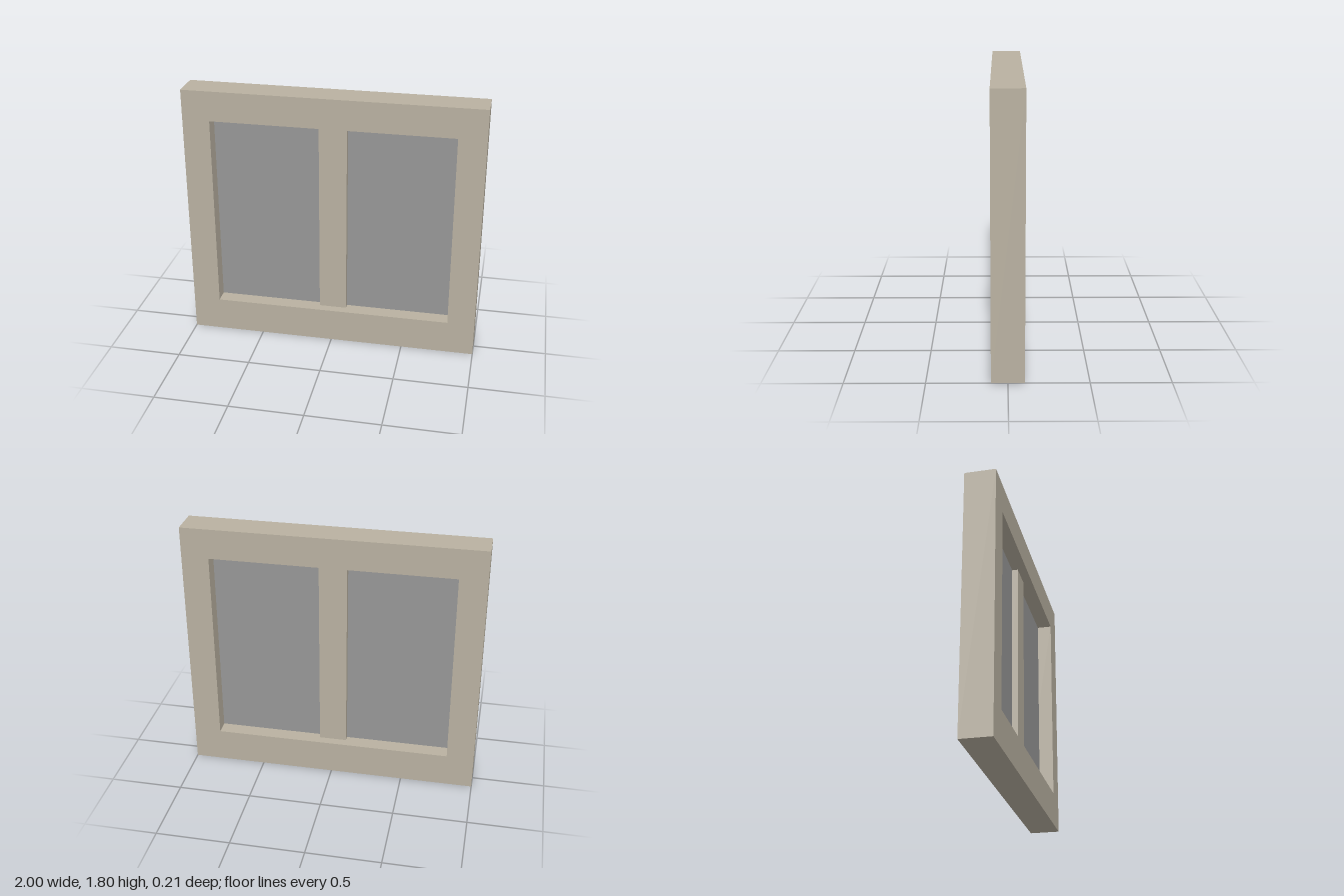
import * as THREE from 'three';

const WIDTH = 2, HEIGHT = 1.797, DEPTH = 0.207;
const OPEN_X = 0.815, OPEN_BOTTOM = 0.234, OPEN_TOP = 1.592;
const MULLION_X = 0.094, MULLION_DEPTH = 0.084;

// Closed rectangle, used for the outline and the opening
function rectangle(path, x, bottom, top) {
  path.moveTo(-x, bottom);
  path.lineTo(x, bottom);
  path.lineTo(x, top);
  path.lineTo(-x, top);
  path.closePath();
  return path;
}

export function createModel() {
  const model = new THREE.Group();
  model.name = 'window';

  const frameMaterial = new THREE.MeshStandardMaterial({ color: 0xb9b1a1 });
  frameMaterial.name = 'beige frame';
  const glassMaterial = new THREE.MeshStandardMaterial({ color: 0x979797 });
  glassMaterial.name = 'grey glass';

  const add = (name, geometry, material, x = 0, y = 0, z = 0) => {
    const mesh = new THREE.Mesh(geometry, material);
    mesh.name = name;
    mesh.position.set(x, y, z);
    model.add(mesh);
  };

  // Surrounding frame with one large opening
  const outline = rectangle(new THREE.Shape(), WIDTH / 2, 0, HEIGHT);
  outline.holes.push(rectangle(new THREE.Path(), OPEN_X, OPEN_BOTTOM, OPEN_TOP));
  const frame = new THREE.ExtrudeGeometry(outline, { depth: DEPTH, bevelEnabled: false });
  add('frame', frame, frameMaterial, 0, 0, -DEPTH / 2);

  // Slim upright between the panes
  const openHeight = OPEN_TOP - OPEN_BOTTOM;
  const middle = (OPEN_TOP + OPEN_BOTTOM) / 2;
  const mullion = new THREE.BoxGeometry(MULLION_X * 2, openHeight, MULLION_DEPTH);
  add('mullion', mullion, frameMaterial, 0, middle);

  // Two thin panes set at mid-depth
  const paneWidth = OPEN_X - MULLION_X;
  const pane = new THREE.BoxGeometry(paneWidth, openHeight, 0.004);
  for (const [name, side] of [['leftPane', 1], ['rightPane', -1]]) {
    add(name, pane, glassMaterial, side * (MULLION_X + paneWidth / 2), middle);
  }

  return model;
}
